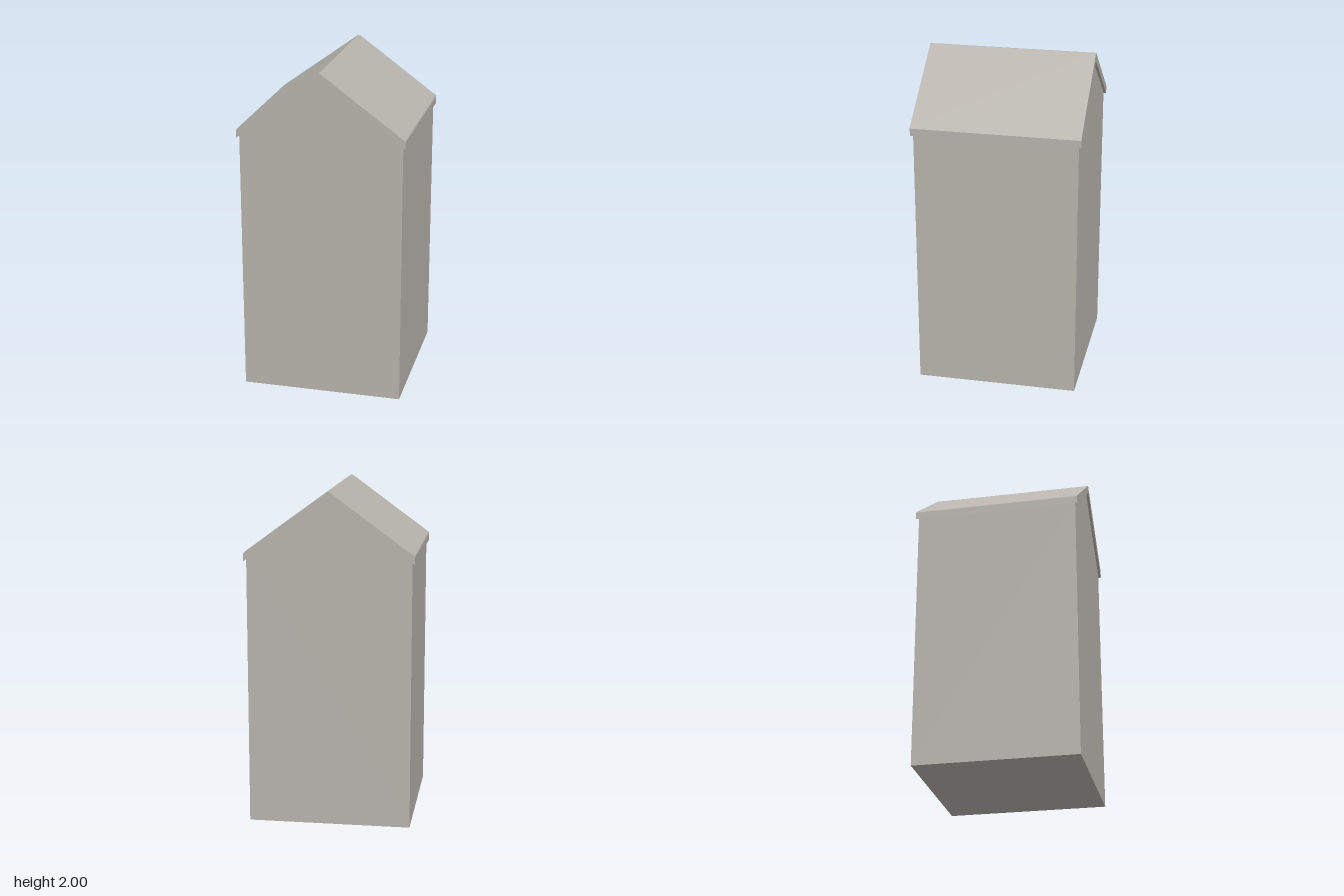
import * as THREE from 'three';

// Extrude an x/y outline along z, centred on z = 0
function prism(name, points, depth, material) {
  const shape = new THREE.Shape(points.map(([x, y]) => new THREE.Vector2(x, y)));
  const geometry = new THREE.ExtrudeGeometry(shape, { depth, bevelEnabled: false });
  geometry.translate(0, 0, -depth / 2);
  const mesh = new THREE.Mesh(geometry, material);
  mesh.name = name;
  return mesh;
}

export function createModel() {
  const stone = new THREE.MeshStandardMaterial({ color: 0xb8b4ad });
  stone.name = 'warm grey stone';

  const model = new THREE.Group();
  model.name = 'gabledHouse';

  // Walls with gables reaching the underside of the roof
  const wall = 0.485, eave = 0.5;
  const underside = (x) => 1.95 - (0.36 / eave) * Math.abs(x);
  model.add(prism('walls', [
    [-wall, 0], [wall, 0], [wall, underside(wall)], [0, underside(0)], [-wall, underside(wall)],
  ], 2 * wall, stone));

  // Roof slab with a narrow flat ridge and slightly eased eave corners
  model.add(prism('roof', [
    [-eave, underside(eave)], [0, underside(0)], [eave, underside(eave)],
    [eave, 1.635], [eave - 0.005, 1.643], [0.005, 2],
    [-0.005, 2], [-eave + 0.005, 1.643], [-eave, 1.635],
  ], 1, stone));

  return model;
}
